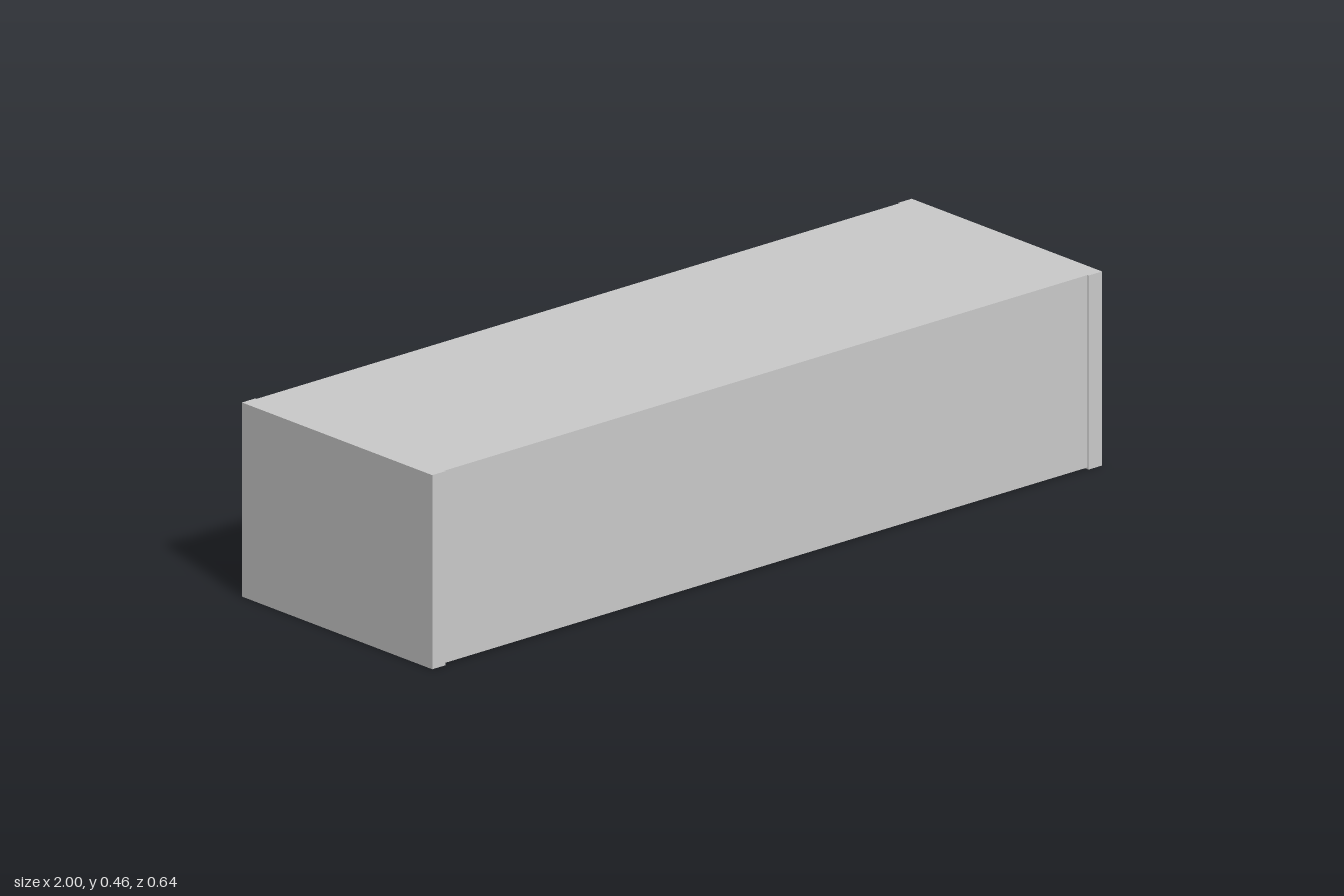
import * as THREE from 'three';

const W = 2, H = 0.46, D = 0.637; // overall size
const T = 0.04;                   // panel thickness
const STEP = 0.004;               // setback of the long panels from the end panels
const RECESS = 0.036;             // depth of the doors inside the bottom frame
const GAP = 0.006;                // clearance around the doors

export function createModel() {
  const group = new THREE.Group();
  const material = new THREE.MeshStandardMaterial({ color: 0xcccccc });

  const box = (name, w, h, d, x, y, z) => {
    const mesh = new THREE.Mesh(new THREE.BoxGeometry(w, h, d), material);
    mesh.name = name;
    mesh.position.set(x, y, z);
    group.add(mesh);
  };

  const innerW = W - 2 * T;
  const longZ = D / 2 - STEP;           // outer face of the long panels
  const innerZ = D / 2 - T;             // inner face of the long panels
  const longT = longZ - innerZ;
  const doorW = innerW / 2 - 1.5 * GAP;
  const doorX = doorW / 2 + GAP / 2;

  // Top panel between the two ends
  box('topPanel', innerW, T, 2 * longZ, 0, H - T / 2, 0);

  // Long front and back panels, slightly shorter and set back from the ends
  const longH = H - T - STEP;
  for (const [name, s] of [['frontPanel', 1], ['backPanel', -1]]) {
    box(name, innerW, longH, longT, 0, STEP + longH / 2, s * (innerZ + longT / 2));
  }

  // Each side: end panel, recessed bottom door and its slim pull
  for (const [side, s] of [['left', 1], ['right', -1]]) {
    box(side + 'EndPanel', T, H, D, s * (W / 2 - T / 2), H / 2, 0);
    box(side + 'Door', doorW, T, 2 * (innerZ - GAP), s * doorX, RECESS + T / 2, 0);
    box(side + 'DoorPull', 0.008, 0.006, 0.07, s * 0.89, RECESS - 0.002, 0);
  }

  return group;
}
